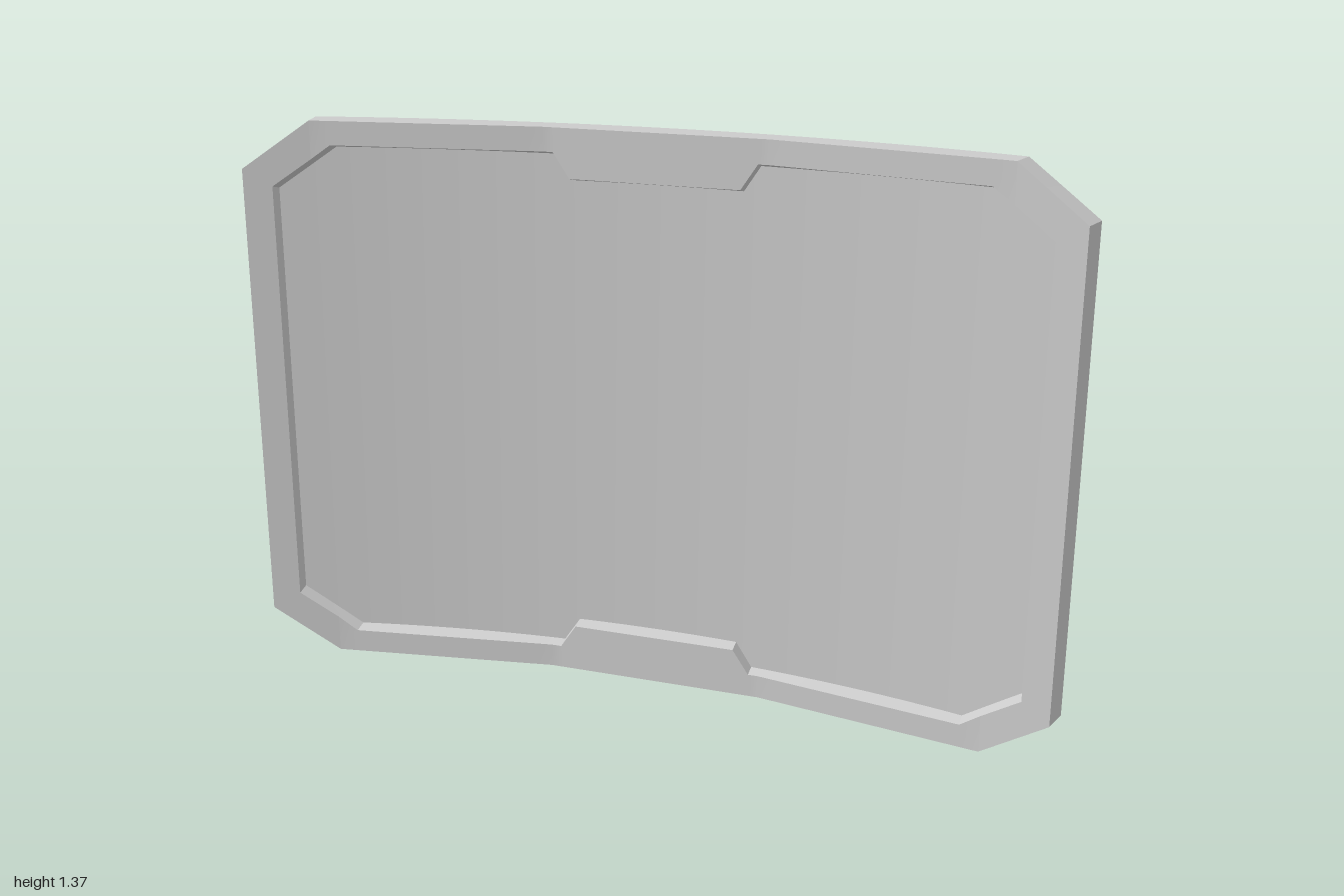
import * as THREE from 'three';
import { mergeGeometries, toCreasedNormals } from 'three/addons/utils/BufferGeometryUtils.js';

const MID = 0.6825;   // half the height
const FRONT = 0.982;  // front face is slightly narrower than the back
const INNER = 0.915;  // half width of the recessed screen

// piecewise linear lookup through [x, value] points, mirrored in x
function lookup(points) {
  return (x) => {
    const a = Math.abs(x);
    for (let i = 1; i < points.length; i++) {
      const [x0, v0] = points[i - 1], [x1, v1] = points[i];
      if (a <= x1) return v0 + (v1 - v0) * (a - x0) / (x1 - x0);
    }
    return points[points.length - 1][1];
  };
}

// half heights of the outer outline and of the notched opening
const outerH = lookup([[0, MID], [0.838, MID], [1, 0.567]]);
const innerH = lookup([[0, 0.5575], [0.205, 0.5575], [0.245, 0.6175], [0.775, 0.6175], [INNER, 0.5175]]);
const lipH = (x) => innerH(x) + 0.008;

// depths: faceted frame front, curved back and screen
const frontZ = lookup([[0, -0.033], [0.27, -0.033], [0.823, 0.06], [FRONT, 0.108]]);
const R = 3.365;
const arc = (x) => R - Math.sqrt(R * R - x * x);
const backZ = (x) => -0.108 + arc(x);
const screenZ = (x) => -0.07 + arc(x);

// evenly spaced stations plus mirrored break points
function stations(limit, breaks, n = 40) {
  const all = breaks.flatMap((b) => [b, -b]);
  for (let i = 0; i <= n; i++) all.push(-limit + (2 * limit * i) / n);
  all.sort((a, b) => a - b);
  return all.filter((x, i) => i === 0 || x - all[i - 1] > 1e-5);
}

// surface between two curves; faces +z when a runs along the bottom and b along the top
function strip(ts, a, b) {
  const pos = [], index = [];
  ts.forEach((t, i) => {
    pos.push(...a(t), ...b(t));
    const k = 2 * i;
    if (i < ts.length - 1) index.push(k, k + 2, k + 3, k, k + 3, k + 1);
  });
  const g = new THREE.BufferGeometry();
  g.setAttribute('position', new THREE.Float32BufferAttribute(pos, 3));
  g.setIndex(index);
  return g;
}

// edge curves; s = 1 for the top edge, -1 for the bottom
const backEdge = (s) => (t) => [t, MID + s * outerH(t), backZ(t)];
const frontEdge = (s) => (t) => [FRONT * t, MID + s * outerH(t), frontZ(FRONT * t)];
const lipEdge = (s) => (x) => [x, MID + s * lipH(x), frontZ(x)];
const screenEdge = (s) => (x) => [x, MID + s * innerH(x), screenZ(x)];
const faceEdge = (s) => (x) => frontEdge(s)(x / FRONT);

function makeMesh(name, parts) {
  const geometry = toCreasedNormals(mergeGeometries(parts), 0.5);
  const mesh = new THREE.Mesh(geometry, new THREE.MeshStandardMaterial({ color: 0xcccccc }));
  mesh.name = name;
  return mesh;
}

export function createModel() {
  const group = new THREE.Group();
  group.name = 'curvedPanel';

  const outerXs = stations(1, [0.27 / FRONT, 0.838]);
  const innerXs = stations(INNER, [0.205, 0.245, 0.27, 0.775, 0.823]);
  const ends = [-1, 1];
  const ordered = (s, a, b) => (s > 0 ? [a, b] : [b, a]);

  const frame = [], rim = [], lip = [];
  for (const s of [1, -1]) {
    // top and bottom
    frame.push(strip(innerXs, ...ordered(s, lipEdge(s), faceEdge(s))));
    rim.push(strip(outerXs, ...ordered(s, frontEdge(s), backEdge(s))));
    lip.push(strip(innerXs, ...ordered(s, screenEdge(s), lipEdge(s))));

    // left and right ends
    const sideXs = s > 0 ? [INNER, FRONT] : [-FRONT, -INNER];
    frame.push(strip(sideXs, faceEdge(-1), faceEdge(1)));
    // side border pieces between the opening corner and its lip
    rim.push(strip(ends, ...ordered(s, (v) => backEdge(v)(s), (v) => frontEdge(v)(s))));
    lip.push(strip(ends, ...ordered(s, (v) => lipEdge(v)(s * INNER), (v) => screenEdge(v)(s * INNER))));
  }

  group.add(
    makeMesh('frameFront', frame),
    makeMesh('outerRim', rim),
    makeMesh('recessLip', lip),
    makeMesh('screen', [strip(innerXs, screenEdge(-1), screenEdge(1))]),
    makeMesh('backShell', [strip(outerXs, backEdge(1), backEdge(-1))]),
  );
  return group;
}
